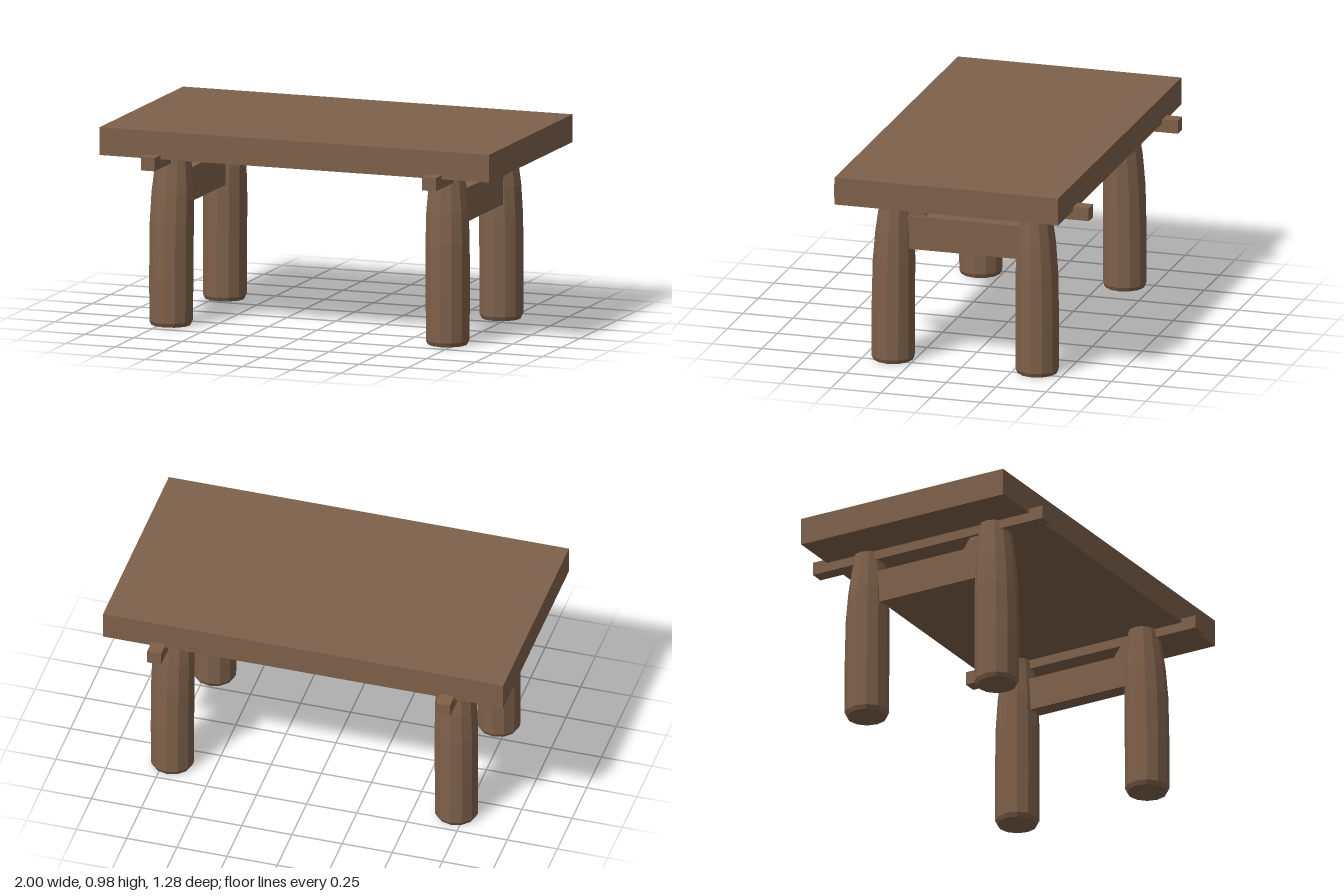
import * as THREE from 'three';

export function createModel() {
  const table = new THREE.Group();
  table.name = 'rusticTable';
  const wood = new THREE.MeshStandardMaterial({ color: 0x7e614a, flatShading: true });
  wood.name = 'brown wood';

  function add(name, geometry, x = 0, y = 0, z = 0) {
    const mesh = new THREE.Mesh(geometry, wood);
    mesh.name = name;
    mesh.position.set(x, y, z);
    table.add(mesh);
  }

  // Log leg: faceted, rounded at the foot, narrowing and leaning inward near the top
  const legProfile = [
    [0, 0], [0.096, 0], [0.106, 0.02], [0.107, 0.25], [0.104, 0.5], [0.095, 0.65], [0.073, 0.84], [0, 0.84],
  ].map(([r, y]) => new THREE.Vector2(r, y));

  function legGeometry(sx, sz) {
    const geometry = new THREE.LatheGeometry(legProfile, 12);
    const p = geometry.attributes.position;
    for (let i = 0; i < p.count; i++) {
      const t = Math.max(0, (p.getY(i) - 0.4) / 0.44);
      p.setX(i, p.getX(i) * (1 + 0.16 * t) - sx * 0.008 * t);
      p.setZ(i, p.getZ(i) - sz * 0.012 * t);
    }
    geometry.computeVertexNormals();
    return geometry;
  }

  // Thick slab top
  add('tableTop', new THREE.BoxGeometry(1.995, 0.135, 1.12), 0, 0.9075, 0);

  // Small corner brace between stretcher and runner, drawn in the z-y plane
  const braceShape = new THREE.Shape();
  braceShape.moveTo(-0.3, 0.73);
  braceShape.lineTo(-0.18, 0.73);
  braceShape.lineTo(-0.23, 0.8);
  braceShape.lineTo(-0.3, 0.8);
  const brace = new THREE.ExtrudeGeometry(braceShape, { depth: 0.06, bevelEnabled: false });
  brace.translate(0, 0, -0.03).rotateY(Math.PI / 2);

  for (const sx of [-1, 1]) {
    const side = sx > 0 ? 'left' : 'right';
    // Legs
    for (const sz of [-1, 1]) {
      const end = sz > 0 ? 'Front' : 'Back';
      add(`${side}${end}Leg`, legGeometry(sx, sz), sx * 0.708, 0, sz > 0 ? 0.355 : -0.366);
    }
    // Runner under the top, poking out front and back
    add(`${side}Runner`, new THREE.BoxGeometry(0.07, 0.065, 1.276), sx * 0.72, 0.8275, 0);
    // Deep stretcher joining the two legs
    add(`${side}Stretcher`, new THREE.BoxGeometry(0.08, 0.165, 0.66), sx * 0.71, 0.6525, 0);
    add(`${side}Brace`, brace, sx * 0.71, 0, 0);
  }
  return table;
}
